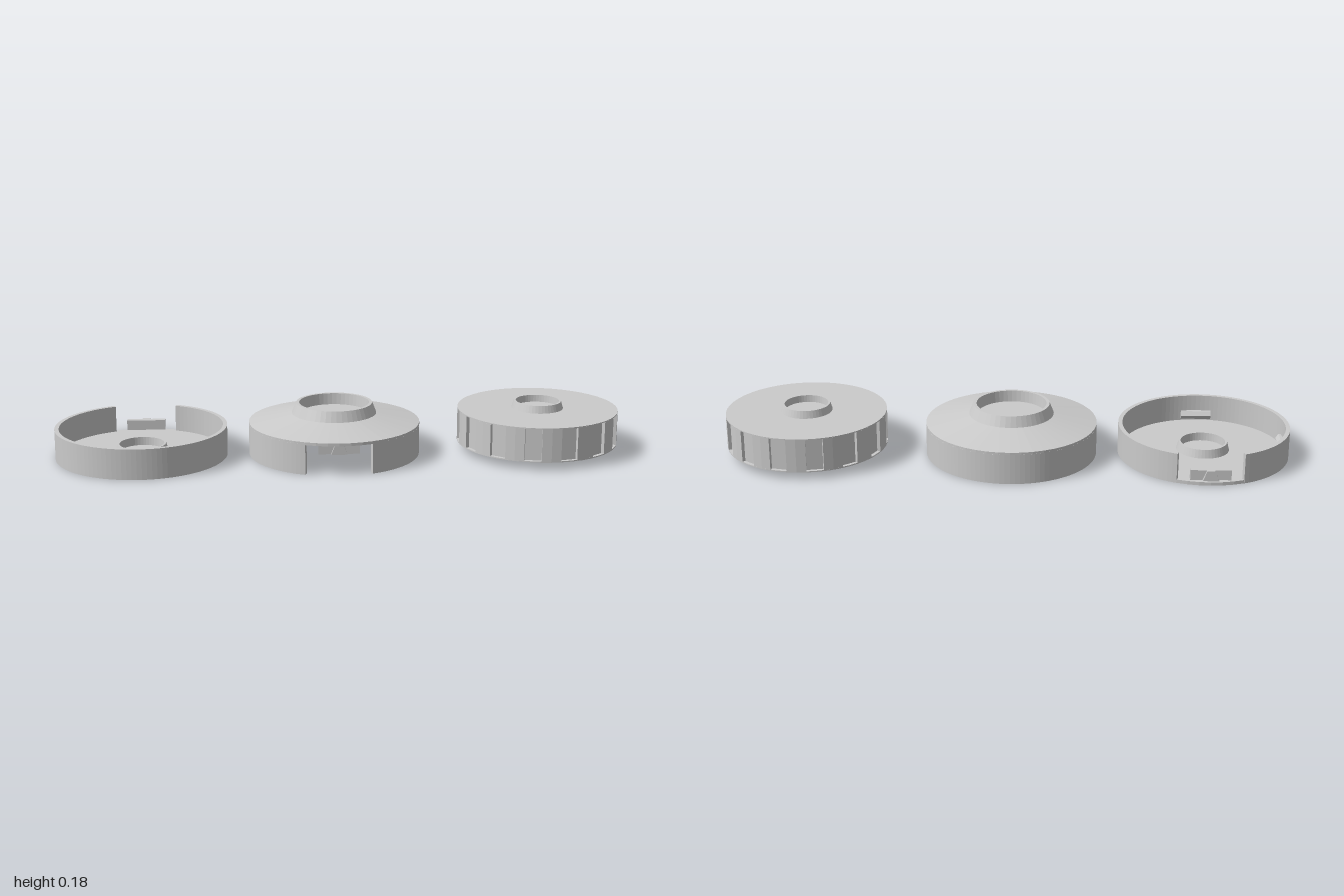
import * as THREE from 'three';

const SIDES = 48;

export function createModel() {
  const mat = new THREE.MeshStandardMaterial({ color: 0xcccccc, flatShading: true, side: THREE.DoubleSide });
  const model = new THREE.Group();

  const add = (parent, name, geo, x = 0, y = 0, z = 0) => {
    const mesh = new THREE.Mesh(geo, mat);
    mesh.name = name;
    mesh.position.set(x, y, z);
    parent.add(mesh);
    return mesh;
  };
  const part = (name, x) => {
    const g = new THREE.Group();
    g.name = name;
    g.position.x = x;
    model.add(g);
    return g;
  };
  // Profile is listed from the bottom axis outwards, up and back to the axis
  const lathe = (pts) => new THREE.LatheGeometry(pts.map(p => new THREE.Vector2(...p)), SIDES);
  const disc = (r, h) => new THREE.CylinderGeometry(r, r, h, SIDES).translate(0, h / 2, 0);
  const extrudeUp = (shape, h) => new THREE.ExtrudeGeometry(shape, { depth: h, bevelEnabled: false, curveSegments: SIDES })
    .rotateX(-Math.PI / 2);

  // Ring wall with a gap centred on +z (front = 1) or -z (front = -1)
  const gapWall = (rOut, rIn, h, front) => {
    const half = 0.39, mid = -front * Math.PI / 2;
    const s = new THREE.Shape();
    s.absarc(0, 0, rOut, mid + half, mid + 2 * Math.PI - half, false);
    s.absarc(0, 0, rIn, mid + 2 * Math.PI - half, mid + half, true);
    s.closePath();
    return extrudeUp(s, h);
  };

  // Three snap tabs inside the wall, plus a wedge latch inside the gap
  const addSnaps = (g, y, front) => {
    for (const a of [Math.PI / 2, -Math.PI / 2, front > 0 ? Math.PI : 0]) {
      const tab = new THREE.Shape();
      tab.moveTo(0.29, -0.015);
      tab.lineTo(0.276, -0.015);
      tab.lineTo(0.266, 0);
      tab.lineTo(0.276, 0.015);
      tab.lineTo(0.29, 0.015);
      const geo = new THREE.ExtrudeGeometry(tab, { depth: 0.11, bevelEnabled: false })
        .translate(0, 0, -0.055).rotateY(-Math.PI / 2);
      add(g, 'snapTab', geo, 0, y, 0).rotation.y = a;
    }
    add(g, 'latchPlate', new THREE.BoxGeometry(0.14, 0.036, 0.022), 0, y, front * 0.28);
    const wedge = new THREE.Shape();
    wedge.moveTo(-0.028, -0.018);
    wedge.lineTo(0.028, -0.018);
    wedge.lineTo(0.014, 0.018);
    wedge.lineTo(-0.014, 0.018);
    const geo = new THREE.ExtrudeGeometry(wedge, { depth: 0.012, bevelEnabled: false });
    add(g, 'latchWedge', geo, 0, y, front > 0 ? 0.289 : -0.301);
  };

  // Open tray with a collar in the middle
  const tray = part('tray', -0.697);
  add(tray, 'trayFloor', disc(0.302, 0.012));
  add(tray, 'trayWall', gapWall(0.303, 0.288, 0.107, -1));
  add(tray, 'trayCollar', lathe([[0.094, 0.012], [0.086, 0.042], [0.079, 0.042], [0.077, 0.013], [0, 0.013]]));
  addSnaps(tray, 0.034, -1);

  // Domed lid, hollow below, with a wide collar on top and a hub underneath
  const lid = part('lid', -0.014);
  add(lid, 'lidWall', gapWall(0.303, 0.288, 0.107, 1));
  add(lid, 'lidDome', lathe([
    [0, 0.105], [0.303, 0.105], [0.303, 0.115], [0.15, 0.145],
    [0.135, 0.182], [0.124, 0.182], [0.12, 0.142], [0, 0.142],
  ]));
  add(lid, 'lidHub', disc(0.077, 0.035), 0, 0.072);
  addSnaps(lid, 0.093, 1);

  // Reel with shallow slots around its rim, between two flat faces
  const reel = part('reel', 0.715);
  const R = 0.285, SLOTS = 14, pitch = 2 * Math.PI / SLOTS, halfSlot = 0.105;
  const rim = new THREE.Shape();
  for (let i = 0; i < SLOTS; i++) {
    const a = i * pitch;
    const corner = (r, t) => rim[i === 0 && r === R && t < a ? 'moveTo' : 'lineTo'](r * Math.cos(t), r * Math.sin(t));
    corner(R, a - halfSlot);
    corner(R - 0.012, a - halfSlot);
    corner(R - 0.012, a + halfSlot);
    corner(R, a + halfSlot + 0.0001);
    corner(R, a + pitch / 2);
  }
  rim.closePath();
  add(reel, 'reelBody', extrudeUp(rim, 0.116), 0, 0.03);
  add(reel, 'reelBottomFace', disc(R, 0.004), 0, 0.028);
  add(reel, 'reelTopFace', disc(R, 0.004), 0, 0.146);
  add(reel, 'reelHub', disc(0.075, 0.03));
  add(reel, 'reelCollar', lathe([[0.092, 0.149], [0.084, 0.176], [0.077, 0.176], [0.075, 0.151], [0, 0.151]]));

  return model;
}
